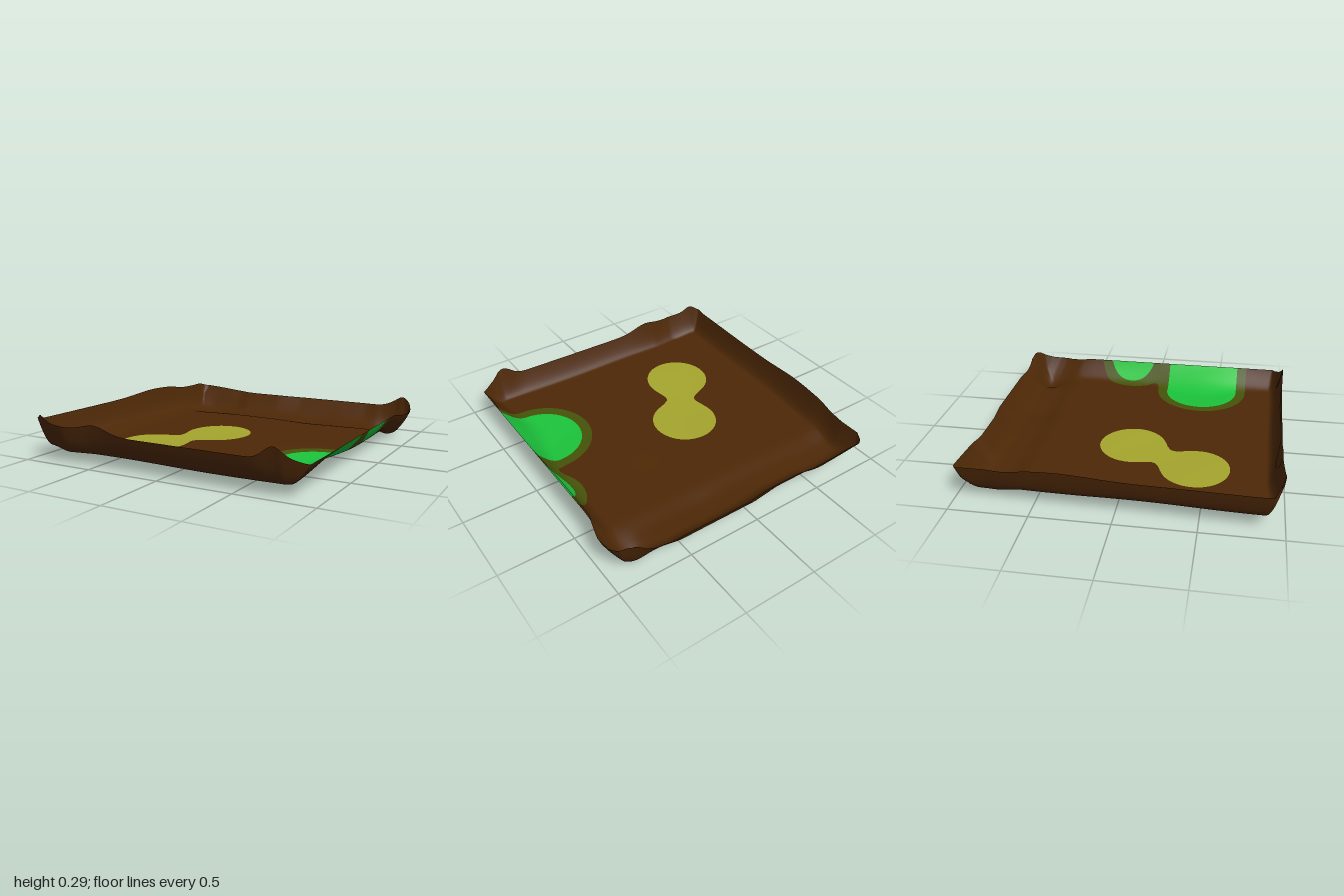
import * as THREE from 'three';

const N = 110; // grid cells along each side of the sheet

// piecewise linear profile through [position, value] pairs
function profile(points, t) {
  if (t <= points[0][0]) return points[0][1];
  for (let i = 1; i < points.length; i++) {
    const [a, va] = points[i - 1], [b, vb] = points[i];
    if (t <= b) return va + (vb - va) * (t - a) / (b - a);
  }
  return points[points.length - 1][1];
}
const lerp = THREE.MathUtils.lerp;
const smooth = THREE.MathUtils.smoothstep;
const bump = (x, z, cx, cz, rx, rz = rx) => Math.exp(-(((x - cx) / rx) ** 2) - ((z - cz) / rz) ** 2);

// wobbly outline of the upturned rim
const LEFT = [[-1, -0.87], [-0.95, -0.89], [-0.8, -0.89], [-0.6, -0.915], [-0.2, -0.935], [0.4, -0.95], [1, -0.97]];
const RIGHT = [[-1, 0.93], [-0.93, 0.955], [-0.86, 0.968], [-0.8, 0.965], [-0.65, 0.93], [1, 0.93]];
const BACK = [[-1, -0.98], [-0.97, -1], [-0.6, -1], [-0.5, -0.98], [-0.2, -0.98], [0, -1], [0.6, -1],
  [0.7, -0.985], [0.86, -0.98], [0.94, -0.955], [1, -0.91]];
const FRONT = [[-1, 0.92], [-0.92, 0.965], [-0.73, 0.99], [-0.55, 0.97], [0.25, 0.98], [0.84, 0.99], [0.92, 0.96], [1, 0.92]];

// crest of the rim
function rimHeight(x, z) {
  let y = 0.215 + 0.035 * smooth(-x, 0.35, 0.92);
  y += 0.04 * bump(x, z, -0.91, 0.96, 0.06) + 0.05 * bump(x, z, -0.47, 0.98, 0.13, 0.08);
  y += 0.075 * bump(x, z, 0.74, 0.99, 0.08, 0.06) + 0.07 * bump(x, z, 0.86, -0.95, 0.1);
  y += 0.02 * bump(x, z, -0.92, -0.3, 0.15, 0.25);
  return y - 0.02 * smooth(-z, 0.5, 0.7) - 0.02 * smooth(-z, 0.92, 1) - 0.014 * smooth(x, 0.85, 0.93);
}

// gently uneven floor with a trough along the back
function floorHeight(x, z) {
  let y = 0.064 + 0.005 * Math.sin(5 * x) * Math.sin(5 * z + 1) + 0.025 * smooth(-x, 0.72, 0.9);
  y -= 0.02 * smooth(-z, 0.58, 0.74) + 0.012 * bump(x, z, 0.7, 0.3, 0.3, 0.2);
  y -= 0.015 * bump(x, z, -0.65, -0.82, 0.2, 0.14) + 0.013 * bump(x, z, 0.23, -0.82, 0.12, 0.15);
  return y - 0.048 * bump(x, z, 0.79, -0.84, 0.085, 0.1);
}

// signed distances of the patches, negative inside
function blend(a, b, k) {
  const h = Math.max(k - Math.abs(a - b), 0);
  return Math.min(a, b) - h * h / (4 * k);
}
const disc = (x, z, cx, cz, r) => Math.hypot(x - cx, z - cz) - r;
const sandField = (x, z) => blend(disc(x, z, -0.165, -0.005, 0.223), disc(x, z, -0.41, 0.435, 0.223), 0.19);
const grassField = (x, z) => blend(
  disc(x, z, Math.min(1, Math.max(0.75, x)), 0.383, 0.265),
  disc(x, z, 1.03, -0.18, 0.195), 0.1);
const mossField = (x, z) => grassField(x, z) - 0.07;

// thin sheet whose edges curl up into a rim
function sheetGeometry() {
  const pos = [], index = [], S = N + 1;
  // rows crowd together toward the edges
  const crowd = (k) => { const t = 2 * k / N - 1; return lerp(t, Math.sin(t * Math.PI / 2), 0.8); };
  for (let j = 0; j <= N; j++) {
    for (let i = 0; i <= N; i++) {
      const u = crowd(i), v = crowd(j);
      const left = profile(LEFT, v), right = profile(RIGHT, v), back = profile(BACK, u), front = profile(FRONT, u);
      const x = lerp(left, right, (u + 1) / 2), z = lerp(back, front, (v + 1) / 2);
      const rightWidth = 0.13 + 0.12 * bump(0, z, 0, 0.4, 1, 0.28);
      const near = Math.max(0, 1 - (x - left) / 0.075, 1 - (front - z) / 0.085,
        1 - (z - back) / 0.16, 1 - (right - x) / rightWidth);
      pos.push(x, lerp(floorHeight(x, z), rimHeight(x, z), near ** 1.9), z);
    }
  }
  for (let j = 0; j < N; j++) {
    for (let i = 0; i < N; i++) {
      const a = j * S + i, b = a + S;
      index.push(a, b, a + 1, a + 1, b, b + 1);
    }
  }
  const g = new THREE.BufferGeometry();
  g.setAttribute('position', new THREE.Float32BufferAttribute(pos, 3));
  g.setIndex(index);
  g.computeVertexNormals();
  return g;
}

// cut a polygon along the zero line of a field
function split(poly, field) {
  const inside = [], outside = [];
  poly.forEach((a, i) => {
    const b = poly[(i + 1) % poly.length];
    const fa = field(a[0], a[2]), fb = field(b[0], b[2]);
    (fa < 0 ? inside : outside).push(a);
    if ((fa < 0) !== (fb < 0)) {
      const m = a.map((v, k) => lerp(v, b[k], fa / (fa - fb)));
      inside.push(m);
      outside.push(m);
    }
  });
  return [inside, outside];
}

export function createModel() {
  const group = new THREE.Group();
  group.name = 'groundTile';
  const layers = [
    { name: 'sandPatch', material: 'sand', color: 0xa6a62e, field: sandField },
    { name: 'grassPatch', material: 'grass', color: 0x1cc43c, field: grassField },
    { name: 'grassBorder', material: 'moss', color: 0x46540a, field: mossField },
    { name: 'soilSheet', material: 'soil', color: 0x4d2806, field: () => -1 },
  ].map((l) => ({ ...l, pos: [], nor: [] }));

  // share out the sheet between the colours
  const sheet = sheetGeometry();
  const p = sheet.attributes.position, n = sheet.attributes.normal, idx = sheet.index;
  const corner = (k) => [p.getX(k), p.getY(k), p.getZ(k), n.getX(k), n.getY(k), n.getZ(k)];
  for (let t = 0; t < idx.count; t += 3) {
    let rest = [0, 1, 2].map((k) => corner(idx.getX(t + k)));
    for (const layer of layers) {
      const [inside, outside] = split(rest, layer.field);
      for (let k = 2; k < inside.length; k++) {
        for (const v of [inside[0], inside[k - 1], inside[k]]) {
          layer.pos.push(v[0], v[1], v[2]);
          layer.nor.push(v[3], v[4], v[5]);
        }
      }
      rest = outside;
      if (rest.length < 3) break;
    }
  }

  for (const layer of layers) {
    const g = new THREE.BufferGeometry();
    g.setAttribute('position', new THREE.Float32BufferAttribute(layer.pos, 3));
    g.setAttribute('normal', new THREE.Float32BufferAttribute(layer.nor, 3));
    const material = new THREE.MeshStandardMaterial({ color: layer.color, side: THREE.DoubleSide });
    material.name = layer.material;
    const mesh = new THREE.Mesh(g, material);
    mesh.name = layer.name;
    group.add(mesh);
  }
  return group;
}
